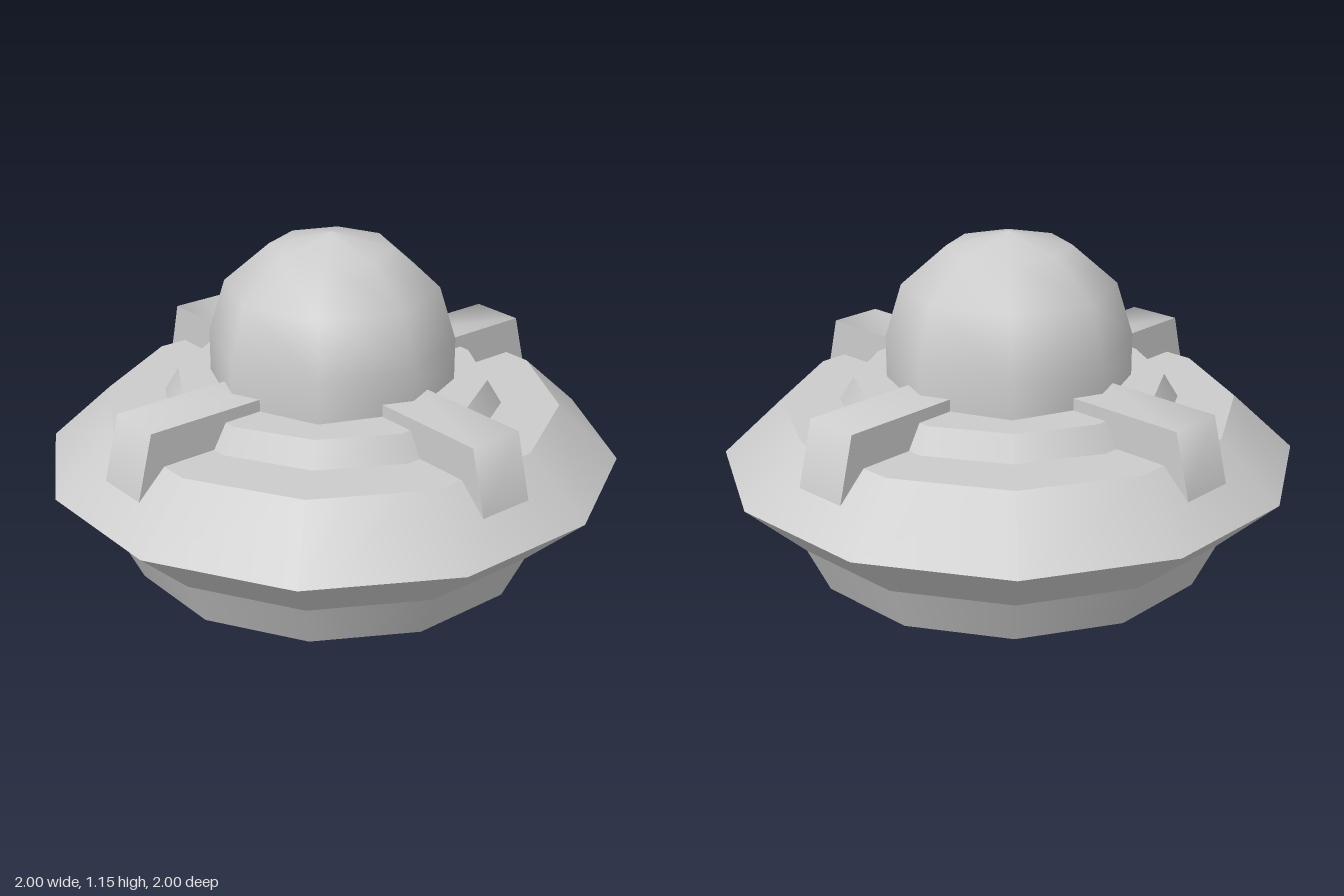
import * as THREE from 'three';
import { toCreasedNormals } from 'three/addons/utils/BufferGeometryUtils.js';

const material = new THREE.MeshStandardMaterial({ color: 0xcccccc });

function addMesh(parent, name, geometry) {
  const mesh = new THREE.Mesh(geometry, material);
  mesh.name = name;
  parent.add(mesh);
  return mesh;
}

// Twelve-sided tapered band between two heights, smooth around its axis
function addBand(parent, name, [r0, y0], [r1, y1]) {
  const band = addMesh(parent, name, new THREE.CylinderGeometry(r1, r0, y1 - y0, 12, 1, true));
  band.position.y = (y0 + y1) / 2;
}

// Flat twelve-sided disc facing up or down
function addDisc(parent, name, radius, y, up) {
  const disc = addMesh(parent, name, new THREE.CircleGeometry(radius, 12));
  disc.rotation.x = up ? -Math.PI / 2 : Math.PI / 2;
  disc.position.y = y;
}

export function createModel() {
  const model = new THREE.Group();
  model.name = 'saucer';

  // Saucer hull: base, lower and upper rim slopes
  const hull = new THREE.Group();
  hull.name = 'hull';
  model.add(hull);
  addDisc(hull, 'hullBottom', 0.71, 0, false);
  addBand(hull, 'hullBase', [0.71, 0], [0.79, 0.165]);
  addBand(hull, 'lowerRim', [0.79, 0.165], [1, 0.36]);
  addBand(hull, 'upperRim', [1, 0.36], [0.79, 0.555]);
  addDisc(hull, 'deck', 0.79, 0.555, true);

  // Raised collar under the dome
  addBand(hull, 'collar', [0.59, 0.555], [0.54, 0.638]);
  addDisc(hull, 'collarTop', 0.54, 0.638, true);

  // Eight-sided dome: short straight wall, then a slightly flattened cap
  const profile = [new THREE.Vector2(0.425, 0.62)];
  for (let i = 0; i <= 3; i++) {
    const a = (i * Math.PI) / 6;
    profile.push(new THREE.Vector2(i === 3 ? 0 : 0.425 * Math.cos(a), 0.785 + 0.37 * Math.sin(a)));
  }
  addMesh(model, 'dome', new THREE.LatheGeometry(profile, 8));

  // Four diagonal braces from the dome down over the rim
  const side = new THREE.Shape([
    [0.3, 0.5], [0.68, 0.5], [0.73, 0.46], [0.863, 0.46], [0.806, 0.68], [0.3, 0.68],
  ].map(([x, y]) => new THREE.Vector2(x, y)));
  const width = 0.198;
  const brace = new THREE.ExtrudeGeometry(side, { depth: width, bevelEnabled: false });
  brace.translate(0, 0, -width / 2);
  const braceGeometry = toCreasedNormals(brace, 1.4);
  for (let i = 0; i < 4; i++) {
    addMesh(model, 'brace' + (i + 1), braceGeometry).rotation.y = Math.PI / 4 + (i * Math.PI) / 2;
  }

  return model;
}
